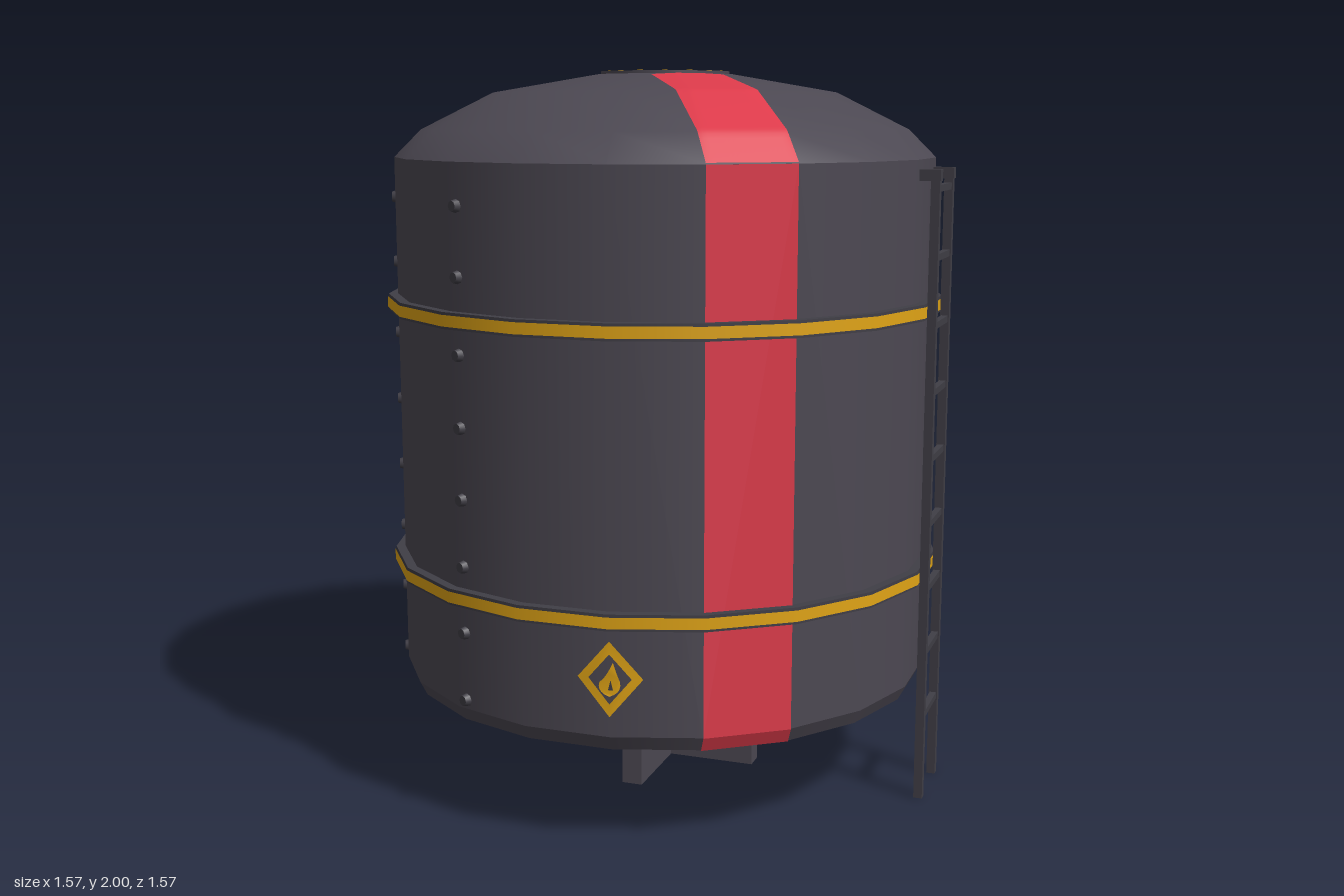
import * as THREE from 'three';

const SIDES = 20, R = 0.755;
const HALF = Math.PI / SIDES;              // half a facet
const APO = Math.cos(HALF);
const EAVE = 1.765, BASE = 0.285;
const DOME = [[R, EAVE], [0.68, 1.84], [0.48, 1.94], [0.19, 1.99], [0, 1.993]];

const mat = (name, color) => {
  const m = new THREE.MeshStandardMaterial({ color });
  m.name = name;
  return m;
};

// height of the faceted dome above a point; z runs along the middle of a facet
function domeHeight(x, z) {
  const a = Math.atan2(x, z);
  const off = a - Math.round(a / (2 * HALF)) * 2 * HALF;
  const r = Math.hypot(x, z) * Math.cos(off) / APO;
  for (let i = 0; i < DOME.length - 1; i++) {
    const [r0, y0] = DOME[i], [r1, y1] = DOME[i + 1];
    if (r >= r1) return y0 + (y1 - y0) * (r0 - r) / (r0 - r1);
  }
  return DOME.at(-1)[1];
}

// apply a rule to each vertex of a geometry
function bend(geo, rule) {
  const p = geo.attributes.position, v = new THREE.Vector3();
  for (let i = 0; i < p.count; i++) {
    rule(v.fromBufferAttribute(p, i));
    p.setXYZ(i, v.x, v.y, v.z);
  }
  geo.computeVertexNormals();
  return geo;
}

export function createModel() {
  const steel = mat('steel grey', 0x4c4852);
  const iron = mat('dark iron', 0x403e46);
  const red = mat('red paint', 0xdc3a4a);
  const gold = mat('yellow paint', 0xe0a416);

  const model = new THREE.Group();
  model.name = 'storageTank';
  const add = (parent, name, geo, material, x = 0, y = 0, z = 0) => {
    const m = new THREE.Mesh(geo, material);
    m.name = name;
    m.position.set(x, y, z);
    parent.add(m);
    return m;
  };
  const group = (name, angle = 0) => {
    const g = new THREE.Group();
    g.name = name;
    g.rotation.y = angle;
    model.add(g);
    return g;
  };
  const lathe = pts => new THREE.LatheGeometry(pts.map(p => new THREE.Vector2(...p)), SIDES);

  // tank shell
  add(model, 'floor', lathe([[0, BASE], [0.735, BASE]]), steel);
  add(model, 'floorChamfer', lathe([[0.735, BASE], [R, 0.325]]), steel);
  add(model, 'wall', lathe([[R, 0.325], [R, EAVE]]), steel);
  add(model, 'dome', lathe(DOME), steel);

  // painted stripe, front and back
  for (const [name, angle] of [['frontStripe', -HALF], ['backStripe', Math.PI - HALF]]) {
    const g = group(name, angle);
    const edge = R * APO, w = R * Math.sin(HALF);
    add(g, 'wallStripe', new THREE.PlaneGeometry(2 * w, EAVE - 0.325), red, 0, (EAVE + 0.325) / 2, edge + 0.004);
    add(g, 'chamferStripe', bend(new THREE.PlaneGeometry(2 * w, 0.04), v => {
      v.z = (v.y < 0 ? 0.735 * APO : edge) + 0.004;
      v.y += 0.305;
    }), red);
    add(g, 'domeStripe', bend(new THREE.PlaneGeometry(2, 1, 20, 48), v => {
      const t = v.y + 0.5;
      v.x *= THREE.MathUtils.lerp(w, 0.101, t);
      v.z = THREE.MathUtils.lerp(edge, 0.209, t);
      v.y = domeHeight(v.x, v.z) + 0.004;
      v.z += 0.003;
    }), red);
  }

  // hoops with a yellow outer face
  for (const y of [0.635, 1.365]) {
    add(model, 'hoop', new THREE.CylinderGeometry(0.781, 0.781, 0.044, SIDES), iron, 0, y);
    add(model, 'hoopPaint', new THREE.CylinderGeometry(0.784, 0.784, 0.03, SIDES, 1, true), gold, 0, y);
  }

  // roof hatch and its ring of bolts
  add(model, 'hatch', new THREE.CylinderGeometry(0.18, 0.18, 0.022, 28), steel, 0, 1.987);
  for (let i = 0; i < 14; i++) {
    const a = i / 14 * Math.PI * 2;
    add(model, 'hatchBolt', new THREE.CylinderGeometry(0.008, 0.008, 0.008, 6), gold,
      0.155 * Math.sin(a), 1.996, 0.155 * Math.cos(a));
  }

  // rivet columns on both sides
  const rivetGeo = new THREE.CylinderGeometry(0.014, 0.02, 0.022, 8).rotateX(Math.PI / 2);
  const rivetRows = [1.69, 1.51, 1.31, 1.12, 0.93, 0.75, 0.57, 0.385];
  for (const side of [1, -1]) for (const s of [1, -1]) {
    const g = group('rivetColumn', side * Math.PI / 2 + s * 0.35);
    for (const y of rivetRows) add(g, 'rivet', rivetGeo, iron, 0, y - (side < 0 ? 0.035 : 0), 0.754);
  }

  // hazard diamonds folded over a wall edge
  const fold = v => { v.z -= Math.abs(v.x) * Math.tan(HALF); };
  const flame = new THREE.Shape();
  flame.moveTo(0, -0.045);
  flame.quadraticCurveTo(-0.035, -0.035, -0.026, -0.008);
  flame.quadraticCurveTo(-0.008, 0.005, 0.01, 0.045);
  flame.quadraticCurveTo(0.02, 0.01, 0.027, -0.005);
  flame.quadraticCurveTo(0.034, -0.035, 0, -0.045);
  for (const angle of [-Math.PI / 5, Math.PI * 4 / 5]) {
    const g = group('hazardSign', angle);
    add(g, 'signBorder', bend(new THREE.RingGeometry(0.066, 0.1, 4).scale(0.85, 1, 1), fold), gold, 0, 0.48, R + 0.004);
    add(g, 'signFlame', bend(new THREE.ShapeGeometry(flame, 5), fold), gold, 0, 0.48, R + 0.006);
    add(g, 'flameCore', new THREE.CircleGeometry(0.011, 3, Math.PI / 2).scale(0.7, 1.6, 1), iron, 0.004, 0.462, R + 0.008);
  }

  // ladder
  const ladder = group('ladder', Math.PI / 4);
  for (const s of [1, -1]) {
    add(ladder, 'ladderRail', new THREE.BoxGeometry(0.024, 1.74, 0.024), iron, s * 0.095, 0.87, 0.788);
    add(ladder, 'ladderBracket', new THREE.BoxGeometry(0.03, 0.03, 0.075), iron, s * 0.095, 1.725, 0.765);
  }
  for (let i = 0; i < 9; i++) {
    add(ladder, 'ladderRung', new THREE.BoxGeometry(0.19, 0.018, 0.018), iron, 0, 0.238 + i * 0.1815, 0.788);
  }

  // crossed foot plates
  for (const a of [Math.PI / 4, -Math.PI / 4]) {
    add(group('foot', a), 'footPlate', new THREE.BoxGeometry(0.56, 0.3, 0.058), steel, 0, 0.15, 0);
  }
  return model;
}
